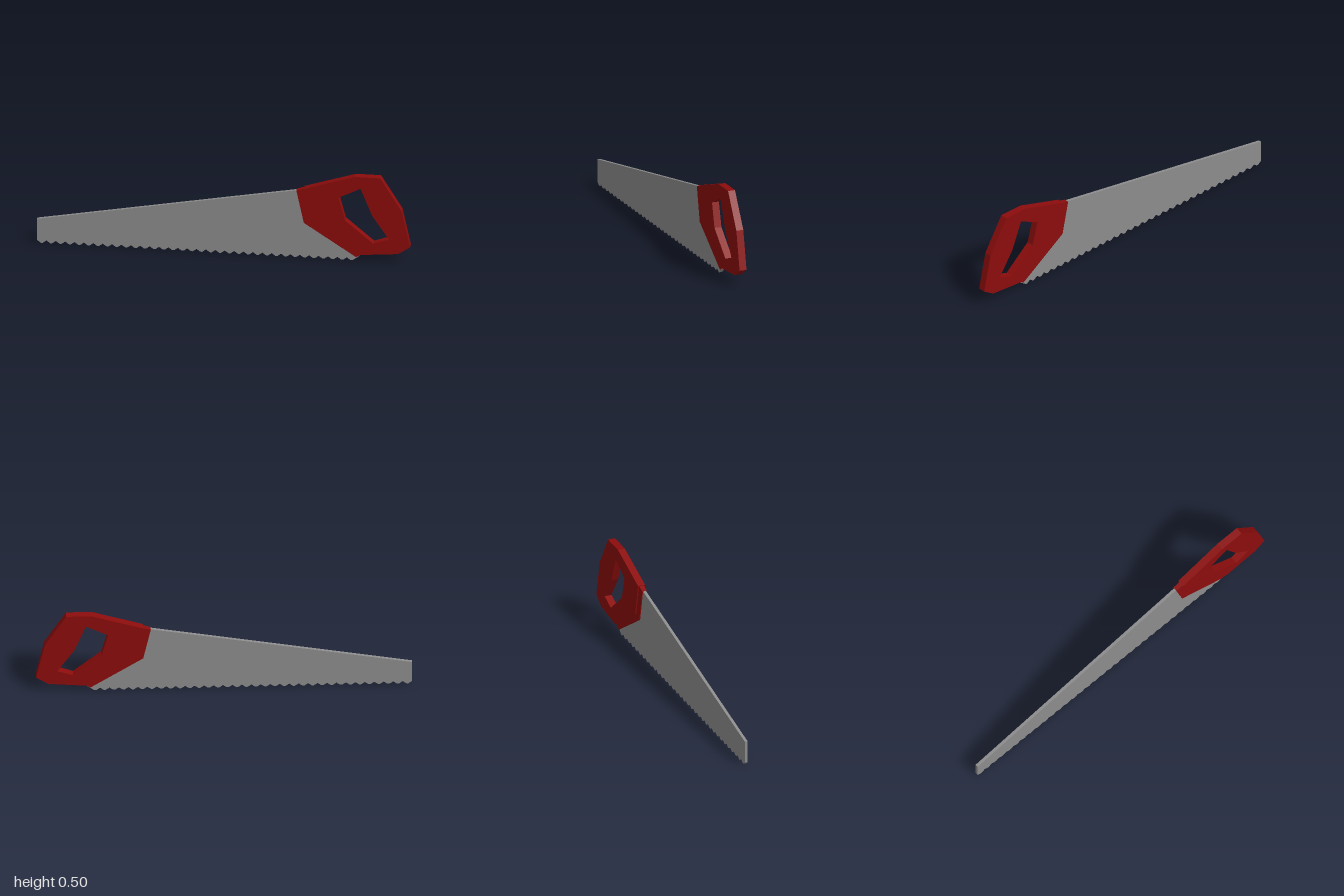
import * as THREE from 'three';

const toPoints = (pairs) => pairs.map(([x, y]) => new THREE.Vector2(x, y));

// Flat plate of the given half thickness, centred on z = 0
function plate(name, outline, half, color, hole) {
  const shape = new THREE.Shape(toPoints(outline));
  if (hole) shape.holes.push(new THREE.Path(toPoints(hole)));
  const geometry = new THREE.ExtrudeGeometry(shape, { depth: half * 2, bevelEnabled: false });
  geometry.translate(0, 0, -half);
  const material = new THREE.MeshStandardMaterial({ color, flatShading: true });
  const mesh = new THREE.Mesh(geometry, material);
  mesh.name = name;
  return mesh;
}

export function createModel() {
  const group = new THREE.Group();
  group.name = 'handSaw';
  const red = 0x8c0c0c;

  // Tapered blade with a row of small teeth along the lower edge
  const blade = [[0.73, 0.03], [0.45, 0.21], [0.41, 0.398], [-1, 0.14]];
  const teeth = 34, start = -1, end = 0.71;
  const pitch = (end - start) / teeth;
  for (let i = 0; i < teeth; i++) {
    const x = start + i * pitch;
    blade.push([x, 0.015], [x + pitch * 0.4, 0], [x + pitch * 0.6, 0]);
  }
  blade.push([end, 0.015]);
  group.add(plate('blade', blade, 0.008, 0x8c8c8c));

  // Thin collar clamping the blade in front of the handle
  group.add(plate('collar', [
    [0.39, 0.395], [0.43, 0.207], [0.71, 0.022], [0.745, 0.042],
    [0.49, 0.23], [0.45, 0.414],
  ], 0.013, red));

  // Handle with the grip opening
  group.add(plate('handle', [
    [0.43, 0.41], [0.47, 0.225], [0.74, 0.04], [0.935, 0.057], [1, 0.1],
    [0.955, 0.31], [0.84, 0.498], [0.705, 0.498],
  ], 0.02, red, [
    [0.617, 0.37], [0.735, 0.43], [0.797, 0.275], [0.887, 0.14], [0.803, 0.11], [0.652, 0.238],
  ]));

  return group;
}
